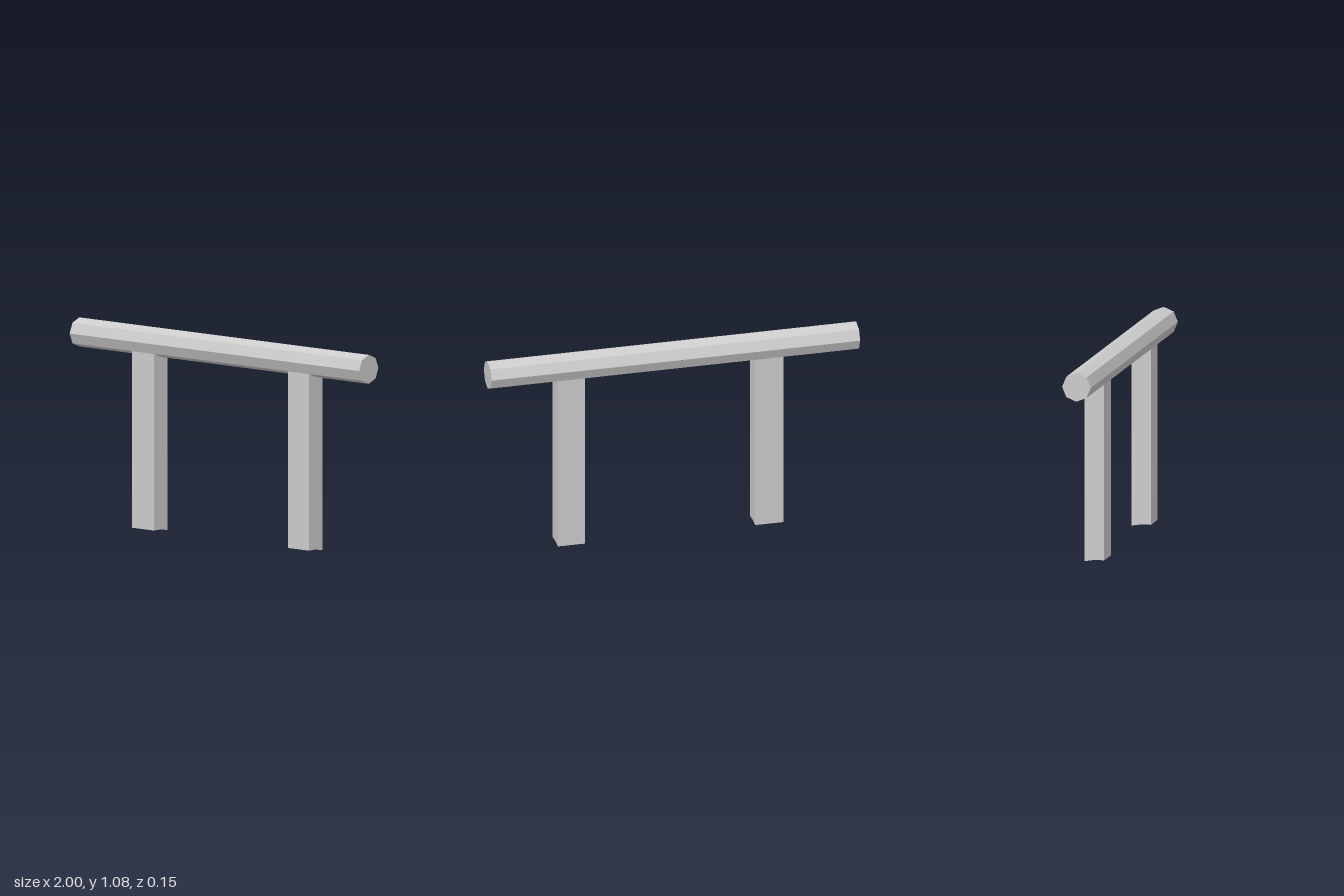
import * as THREE from 'three';

export function createModel() {
  const group = new THREE.Group();
  const material = new THREE.MeshStandardMaterial({ color: 0xcccccc, flatShading: true });

  const add = (name, geometry) => {
    const mesh = new THREE.Mesh(geometry, material);
    mesh.name = name;
    group.add(mesh);
    return mesh;
  };

  // Eight-sided rail lying along x
  add('rail', new THREE.CylinderGeometry(0.077, 0.077, 2, 8).rotateZ(Math.PI / 2)).position.y = 1;

  // Post side profile (-z, y): the foot dips slightly towards the back
  const profile = new THREE.Shape([
    [-0.053, 0.009], [0, 0.009], [0.053, 0], [0.053, 0.946], [-0.053, 0.946],
  ].map(([x, y]) => new THREE.Vector2(x, y)));

  // Two posts, extruded across x
  for (const [name, x0, x1] of [['rightPost', -0.59, -0.437], ['leftPost', 0.487, 0.633]]) {
    const geometry = new THREE.ExtrudeGeometry(profile, { depth: x1 - x0, bevelEnabled: false });
    add(name, geometry.rotateY(Math.PI / 2)).position.x = x0;
  }

  return group;
}
